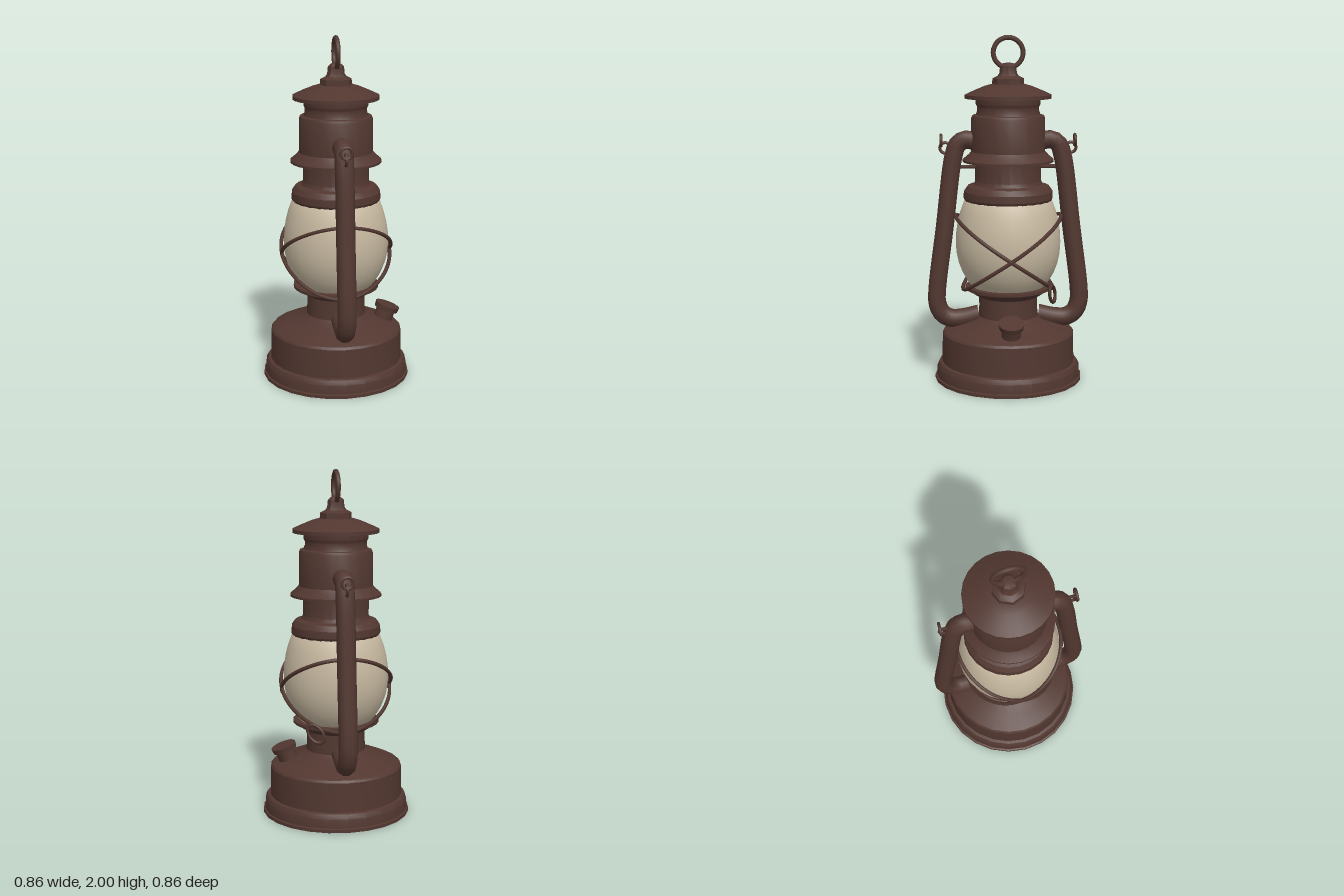
import * as THREE from 'three';
import { toCreasedNormals } from 'three/addons/utils/BufferGeometryUtils.js';

export function createModel() {
  const lantern = new THREE.Group();
  lantern.name = 'lantern';
  const metal = new THREE.MeshStandardMaterial({ color: 0x523730 });
  metal.name = 'brownMetal';
  const glass = new THREE.MeshStandardMaterial({ color: 0xc6b8a0 });
  glass.name = 'creamGlass';

  const add = (name, geometry, material = metal, parent = lantern) => {
    const mesh = new THREE.Mesh(geometry, material);
    mesh.name = name;
    parent.add(mesh);
    return mesh;
  };
  // Turned part from [radius, height] pairs, listed bottom to top
  const turned = (name, profile, sides = 24, material = metal, crease = 0.5) => {
    const points = profile.map(([r, y]) => new THREE.Vector2(r, y));
    return add(name, toCreasedNormals(new THREE.LatheGeometry(points, sides), crease), material);
  };
  const tube = (name, points, radius, segments, sides, closed = false, parent = lantern) => {
    const curve = new THREE.CatmullRomCurve3(points, closed, 'centripetal');
    return add(name, new THREE.TubeGeometry(curve, segments, radius, sides, closed), metal, parent);
  };

  // Fuel tank, with burner neck and globe seat
  turned('fuelTank', [
    [0, 0], [0.43, 0], [0.43, 0.018], [0.42, 0.022], [0.418, 0.075], [0.405, 0.1], [0.388, 0.105],
    [0.385, 0.275], [0.375, 0.288], [0.29, 0.325], [0.2, 0.355], [0.175, 0.375], [0, 0.375],
  ]);
  turned('burnerNeck', [
    [0.175, 0.35], [0.17, 0.43], [0.17, 0.49], [0.195, 0.503], [0.235, 0.53], [0.25, 0.535],
    [0.25, 0.552], [0, 0.552],
  ]);

  // Glass globe
  turned('globe', [
    [0.205, 0.545], [0.235, 0.58], [0.265, 0.63], [0.288, 0.69], [0.301, 0.75], [0.305, 0.81],
    [0.302, 0.87], [0.293, 0.93], [0.278, 0.99], [0.256, 1.05], [0.24, 1.07],
  ], 28, glass, 1);

  // Chimney, collar to vent
  turned('collar', [
    [0, 1.055], [0.25, 1.055], [0.258, 1.07], [0.256, 1.11], [0.235, 1.14], [0.2, 1.15],
    [0.19, 1.17], [0.19, 1.29],
  ]);
  turned('chimney', [
    [0.18, 1.28], [0.262, 1.28], [0.262, 1.293], [0.23, 1.32], [0.213, 1.34], [0.212, 1.53],
    [0.205, 1.546], [0.185, 1.55], [0.178, 1.57], [0.178, 1.595], [0.186, 1.61], [0.186, 1.65],
  ]);
  turned('hood', [
    [0, 1.642], [0.248, 1.642], [0.248, 1.663], [0.2, 1.685], [0.14, 1.71], [0.1, 1.722], [0, 1.726],
  ]);
  turned('finial', [
    [0.092, 1.715], [0.09, 1.755], [0.06, 1.77], [0.05, 1.785], [0.046, 1.825], [0.03, 1.84], [0, 1.845],
  ], 8);
  add('hangingRing', new THREE.TorusGeometry(0.085, 0.014, 8, 28)).position.y = 1.9;

  // Side tubes and their ears, on opposite sides
  const tubePath = [
    [0.13, 1.375], [0.2, 1.4], [0.25, 1.405], [0.29, 1.38], [0.315, 1.31], [0.368, 0.9], [0.416, 0.52],
    [0.415, 0.45], [0.39, 0.39], [0.34, 0.358], [0.27, 0.358], [0.17, 0.38],
  ].map(([r, y]) => new THREE.Vector3(r, y, 0));
  for (const angle of [0, Math.PI]) {
    const side = new THREE.Group();
    side.name = 'sideFrame';
    side.rotation.y = angle;
    lantern.add(side);
    tube('sideTube', tubePath, 0.054, 48, 10, false, side);
    const link = add('earLink', new THREE.TorusGeometry(0.03, 0.009, 6, 14), metal, side);
    link.position.set(0.362, 1.36, 0);
    const eye = add('earRing', new THREE.TorusGeometry(0.032, 0.009, 6, 16), metal, side);
    eye.position.set(0.385, 1.402, 0);
    eye.rotation.y = Math.PI / 2;
    const hook = add('globeStop', new THREE.CylinderGeometry(0.012, 0.012, 0.14, 6), metal, side);
    hook.position.set(0.24, 1.25, 0);
    hook.rotation.z = Math.PI / 2;
  }

  // Two tilted guard wires that cross at the front and back of the globe
  for (const tilt of [1, -1]) {
    const points = [];
    for (let i = 0; i < 24; i++) {
      const a = (i / 24) * Math.PI * 2;
      const c = Math.cos(a) * tilt;
      const r = 0.318 + 0.02 * c - 0.033 * c * c;
      points.push(new THREE.Vector3(r * Math.cos(a), 0.75 + 0.215 * c, r * Math.sin(a)));
    }
    tube('guardWire', points, 0.011, 72, 6, true);
  }

  // Wire finger loop beside the globe seat
  const loop = add('fingerLoop', new THREE.TorusGeometry(0.05, 0.01, 6, 18));
  loop.position.set(0.245, 0.53, 0.155);
  loop.rotation.set(0, 1.15, 0.7, 'YXZ');
  loop.scale.set(0.8, 1.2, 1);

  // Filler cap, tilted outward on the tank shoulder
  const filler = new THREE.Group();
  filler.name = 'fillerCap';
  filler.position.set(0, 0.355, 0.295);
  filler.rotation.x = 0.35;
  lantern.add(filler);
  const creasedCylinder = (r1, r2, h) => toCreasedNormals(new THREE.CylinderGeometry(r1, r2, h, 16), 0.5);
  add('fillerNeck', creasedCylinder(0.056, 0.056, 0.1), metal, filler).position.y = -0.02;
  add('fillerLid', creasedCylinder(0.074, 0.07, 0.03), metal, filler).position.y = 0.035;

  // Turn the frame so the side tubes stand on the diagonal
  lantern.rotation.y = 0.86;
  const model = new THREE.Group();
  model.name = 'oilLantern';
  model.add(lantern);
  return model;
}
